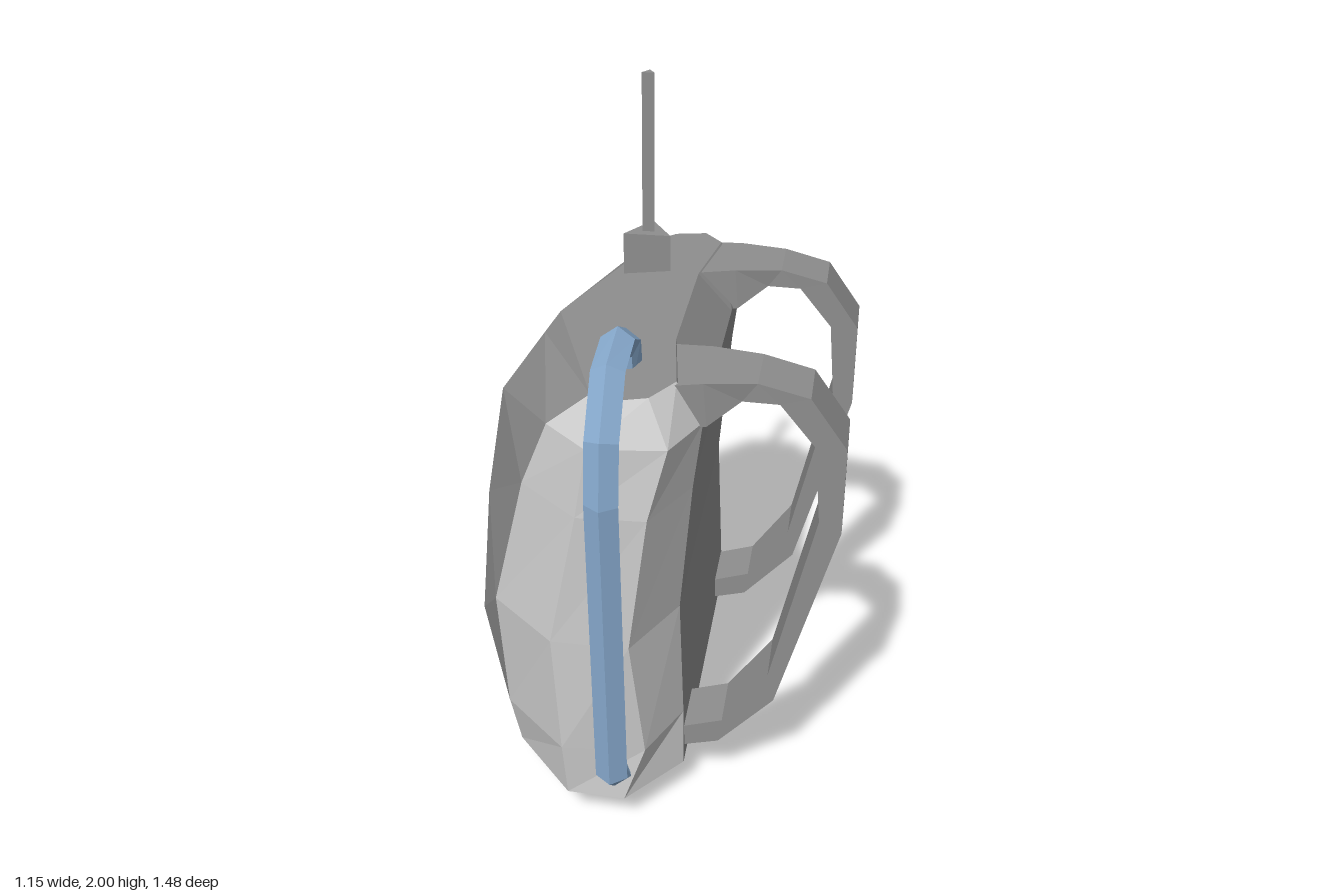
import * as THREE from 'three';

const light = new THREE.MeshStandardMaterial({ color: 0xcccccc, flatShading: true });
const dark = new THREE.MeshStandardMaterial({ color: 0x8e8e8e, flatShading: true });
const blue = new THREE.MeshStandardMaterial({ color: 0x88abcf, flatShading: true });
const MID = -0.045; // z of the pack's plane of symmetry

// Triangles of a closed solid through equal-length rings of [x, y, z].
// Each is tagged with its column round the ring, or -1 on the end caps.
function loft(rings) {
  const n = rings[0].length;
  const tris = [];
  const add = (column, ...corners) => tris.push({ column, corners });
  for (let r = 0; r + 1 < rings.length; r++) {
    for (let i = 0; i < n; i++) {
      const j = (i + 1) % n, a = rings[r], b = rings[r + 1];
      add(i, a[i], a[j], b[j]);
      add(i, a[i], b[j], b[i]);
    }
  }
  const first = rings[0], last = rings[rings.length - 1];
  const centre = (ring) => [0, 1, 2].map((k) => ring.reduce((s, p) => s + p[k], 0) / n);
  const c0 = centre(first), c1 = centre(last);
  for (let i = 0; i < n; i++) {
    const j = (i + 1) % n;
    add(-1, c0, first[j], first[i]);
    add(-1, c1, last[i], last[j]);
  }
  // Turn the solid outward if its signed volume is negative
  const v = (p) => new THREE.Vector3(...p);
  const volume = tris.reduce((s, { corners: [a, b, c] }) => s + v(a).dot(v(b).cross(v(c))), 0);
  if (volume < 0) tris.forEach((t) => t.corners.reverse());
  return tris;
}

function facetMesh(name, tris, material) {
  const geometry = new THREE.BufferGeometry();
  const positions = tris.flatMap((t) => t.corners.flat());
  geometry.setAttribute('position', new THREE.Float32BufferAttribute(positions, 3));
  geometry.computeVertexNormals();
  const mesh = new THREE.Mesh(geometry, material);
  mesh.name = name;
  return mesh;
}

// Pack body: half sections [x, z] from the bulging ridge round to the back panel
function makeBody() {
  const sections = [
    { y: 0.005, half: [[-0.36, 0], [-0.22, 0.45], [-0.15, 0.52], [-0.02, 0.52], [0.02, 0.42], [0.02, 0.24]] },
    { y: 0.12, half: [[-0.54, 0.03], [-0.36, 0.47], [-0.17, 0.68], [0.0, 0.685], [0.15, 0.5], [0.15, 0.24]] },
    { y: 0.3, half: [[-0.58, 0.06], [-0.38, 0.51], [-0.18, 0.695], [0.06, 0.67], [0.145, 0.48], [0.145, 0.24]] },
    { y: 0.68, half: [[-0.572, -0.055], [-0.4, 0.52], [-0.2, 0.697], [0.02, 0.697], [0.13, 0.475], [0.13, 0.24]] },
    { y: 1.09, half: [[-0.49, 0], [-0.3, 0.54], [-0.12, 0.695], [0.07, 0.685], [0.165, 0.49], [0.165, 0.24]] },
    { y: 1.29, half: [[-0.35, 0], [-0.22, 0.56], [-0.09, 0.682], [0.12, 0.655], [0.19, 0.49], [0.185, 0.24]] },
    { y: 1.397, tilt: 0.12, half: [[-0.3, 0], [-0.1, 0.555], [-0.04, 0.6], [0.06, 0.59], [0.12, 0.5], [0.08, 0.24]] },
  ];
  const rings = sections.map(({ y, tilt = 0, half }) => {
    const left = half.map(([x, z]) => [x, y + tilt * x, MID + z]);
    const right = half.slice(1).reverse().map(([x, z]) => [x, y + tilt * x, MID - z]);
    return [...left, ...right];
  });
  // Pale side panels run between the ridge facets and the back panel
  const tris = loft(rings);
  const isSide = ({ column }) => [1, 2, 3, 7, 8, 9].includes(column);
  const body = new THREE.Group();
  body.name = 'packBody';
  body.add(
    facetMesh('sidePanels', tris.filter(isSide), light),
    facetMesh('mainShell', tris.filter((t) => !isSide(t)), dark),
  );
  return body;
}

// Shoulder strap: outer and inner edge [x, y] plus half width at each station
function makeStrap(name, side) {
  const stations = [
    [0.08, 1.403, 0.1, 1.28, 0.13],
    [0.19, 1.411, 0.2, 1.285, 0.115],
    [0.33, 1.41, 0.29, 1.355, 0.09],
    [0.47, 1.375, 0.39, 1.352, 0.088],
    [0.573, 1.23, 0.49, 1.23, 0.088],
    [0.573, 0.97, 0.51, 1.0, 0.088],
    [0.41, 0.37, 0.39, 0.46, 0.088],
    [0.25, 0.195, 0.26, 0.275, 0.088],
    [0.12, 0.16, 0.12, 0.23, 0.088],
  ];
  const z = MID + side * 0.388;
  const rings = stations.map(([ox, oy, ix, iy, w]) => [
    [ox, oy, z - w], [ox, oy, z + w], [ix, iy, z + w], [ix, iy, z - w],
  ]);
  return facetMesh(name, loft(rings), dark);
}

// Five-sided hose running up the left side and hooking over the top
function makeHose() {
  const path = [
    [0.63, 0.222], [0.682, 0.255], [0.695, 1.17], [0.662, 1.33],
    [0.555, 1.47], [0.42, 1.493], [0.34, 1.455], [0.325, 1.36],
  ];
  const radius = 0.048;
  const rings = path.map(([z, y], i) => {
    const a = path[Math.max(i - 1, 0)], b = path[Math.min(i + 1, path.length - 1)];
    const length = Math.hypot(b[0] - a[0], b[1] - a[1]);
    const nz = (b[1] - a[1]) / length, ny = -(b[0] - a[0]) / length;
    const x = -0.022 - 0.013 * y;
    return Array.from({ length: 5 }, (_, k) => {
      const t = (k * 2 * Math.PI) / 5;
      const out = radius * Math.cos(t);
      return [x + radius * Math.sin(t), y + ny * out, z + nz * out];
    });
  });
  return facetMesh('hose', loft(rings), blue);
}

// Three-sided prism standing on the pack's top
function makePrism(name, radius, bottom, top) {
  const mesh = new THREE.Mesh(new THREE.CylinderGeometry(radius, radius, top - bottom, 3), dark);
  mesh.name = name;
  mesh.position.set(-0.085, (bottom + top) / 2, -0.361);
  mesh.rotation.y = Math.PI;
  return mesh;
}

export function createModel() {
  const model = new THREE.Group();
  model.name = 'backpack';
  model.add(
    makeBody(),
    makeStrap('leftStrap', 1),
    makeStrap('rightStrap', -1),
    makeHose(),
    makePrism('antennaBase', 0.084, 1.36, 1.51),
    makePrism('antennaRod', 0.022, 1.5, 2.0),
  );
  return model;
}
